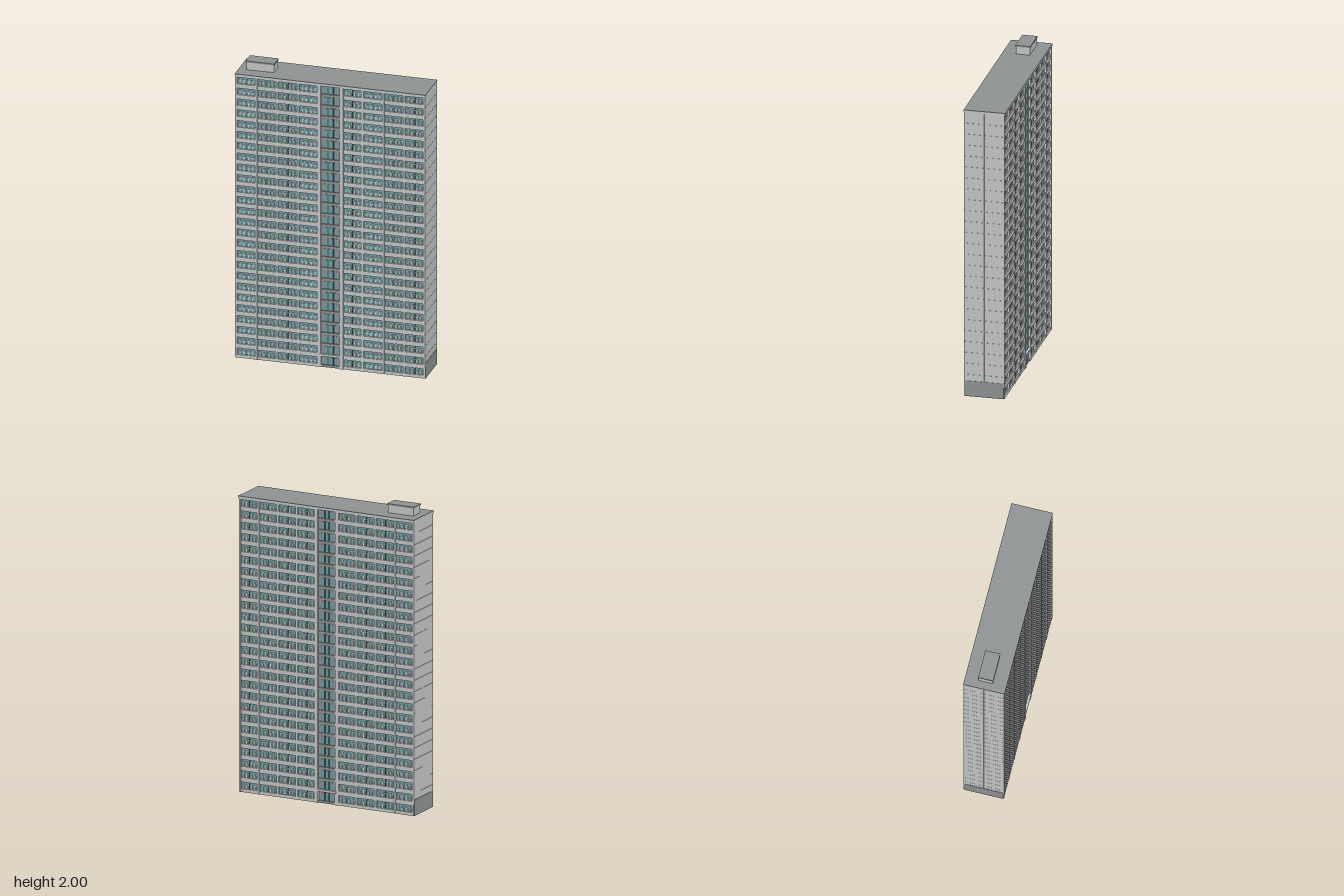
import * as THREE from 'three';
import { mergeGeometries } from 'three/addons/utils/BufferGeometryUtils.js';

const mat = (name, color) => new THREE.MeshStandardMaterial({ name, color });

// main sizes, in the tower's own axes (x along the slab, z across)
const LEN = 1.25, DEPTH = 0.262, TOP = 1.94, FLOORS = 26;
const FLOOR_H = 1.925 / FLOORS;
const CORE_W = 0.15, BAYS = 4, BAY_W = (LEN - CORE_W) / 2 / BAYS;
const FACE = DEPTH / 2, GLASS = FACE - 0.014;

// box from x centre, y range, z range and width
function box(x, y0, y1, z0, z1, w) {
  return new THREE.BoxGeometry(w, y1 - y0, z1 - z0).translate(x, (y0 + y1) / 2, (z0 + z1) / 2);
}

export function createModel() {
  const wall = mat('paleConcrete', 0xc8cac9);
  const grey = mat('greyConcrete', 0x8f9495);
  const glass = mat('tealGlass', 0x69a0a5);
  const dark = mat('darkFrame', 0x4a5557);

  const model = new THREE.Group();
  const tower = new THREE.Group();
  tower.name = 'tower';
  tower.rotation.y = -0.387;
  model.add(tower);

  const add = (parent, name, material, geos) => {
    const mesh = new THREE.Mesh(geos.length > 1 ? mergeGeometries(geos) : geos[0], material);
    mesh.name = name;
    parent.add(mesh);
    return mesh;
  };

  // inner body and solid end walls
  add(tower, 'innerBody', wall, [box(0, 0, 1.925, -GLASS + 0.002, GLASS - 0.002, LEN - 0.02)]);
  for (const s of [-1, 1]) {
    const end = new THREE.Group();
    end.name = s > 0 ? 'leftEnd' : 'rightEnd';
    tower.add(end);
    add(end, 'endWall', wall, [box(s * (LEN / 2 - 0.006), 0, 1.925, -FACE, FACE, 0.012)]);
    // precast panels with open joints between floors and halves
    const panels = [];
    for (let f = 1; f < FLOORS; f++)
      for (const h of [-1, 1]) {
        const y = f * FLOOR_H, z = h * FACE / 2;
        panels.push(box(s * LEN / 2, y + 0.0008, y + FLOOR_H - 0.0008, z - FACE / 2 + 0.001, z + FACE / 2 - 0.001, 0.004));
      }
    add(end, 'endPanels', wall, panels);
    add(end, 'endPlinth', grey, [box(s * (LEN / 2 + 0.001), 0, 0.105, -FACE + 0.005, FACE - 0.005, 0.006)]);
  }

  // one long facade, used on both sides
  function makeFacade(name) {
    const facade = new THREE.Group();
    facade.name = name;
    tower.add(facade);
    const panes = [], bands = [], posts = [], piers = [], mullions = [];
    const corePanels = [], coreGlass = [], coreSlots = [];

    // piers at every bay line
    for (const s of [-1, 1])
      for (let b = 0; b <= BAYS; b++) {
        const w = b === 0 ? 0.024 : 0.014;
        const x = s * (CORE_W / 2 + b * BAY_W - (b === BAYS ? 0.005 : 0));
        piers.push(box(x, 0, 1.925, GLASS - 0.006, FACE + 0.001, b === BAYS ? 0.01 : w));
      }

    for (let f = 0; f < FLOORS; f++) {
      const y = f * FLOOR_H;
      for (const s of [-1, 1]) {
        // parapet band and floor edge through all bays of this half
        const cx = s * (CORE_W / 2 + BAYS * BAY_W / 2);
        bands.push(box(cx, y, y + 0.021, GLASS - 0.004, FACE - 0.001, BAYS * BAY_W - 0.004));
        bands.push(box(cx, y + 0.066, y + FLOOR_H, GLASS - 0.004, FACE - 0.001, BAYS * BAY_W - 0.004));
        for (let b = 0; b < BAYS; b++) {
          const x = s * (CORE_W / 2 + (b + 0.5) * BAY_W);
          panes.push(box(x, y + 0.02, y + 0.067, GLASS - 0.004, GLASS, BAY_W - 0.01));
          // wall pieces between the lower windows
          for (const [u, w] of [[-0.3, 0.006], [-0.12, 0.01], [0.12, 0.01], [0.3, 0.006]])
            posts.push(box(x + u * BAY_W, y + 0.02, y + 0.045, GLASS - 0.003, GLASS + 0.007, w));
          posts.push(box(x, y + 0.044, y + 0.048, GLASS - 0.003, GLASS + 0.004, BAY_W - 0.02));
          mullions.push(box(x, y + 0.02, y + 0.067, GLASS - 0.003, GLASS + 0.005, 0.004));
        }
      }
      // stair core: grey storey panel, narrow windows and dark slots
      corePanels.push(box(0, y, y + 0.015, GLASS - 0.004, FACE - 0.005, CORE_W - 0.02));
      corePanels.push(box(0, y + 0.014, y + FLOOR_H, GLASS - 0.004, GLASS + 0.001, CORE_W - 0.02));
      for (const [x, w] of [[-0.034, 0.018], [0.0, 0.022], [0.034, 0.018]])
        coreGlass.push(box(x, y + 0.018, y + 0.066, GLASS, GLASS + 0.003, w));
      for (const x of [-0.017, 0.017])
        coreSlots.push(box(x, y + 0.015, y + FLOOR_H, GLASS, GLASS + 0.004, 0.007));
    }
    add(facade, 'windows', glass, panes);
    add(facade, 'parapetBands', wall, bands);
    add(facade, 'windowPosts', wall, posts);
    add(facade, 'piers', wall, piers);
    add(facade, 'mullions', dark, mullions);
    add(facade, 'stairPanels', grey, corePanels);
    add(facade, 'stairWindows', glass, coreGlass);
    add(facade, 'stairSlots', dark, coreSlots);
    // entrance surround at the foot of the stair core
    add(facade, 'entrance', wall, [
      box(0, 0.075, 0.09, GLASS, FACE + 0.004, CORE_W - 0.01),
      box(-CORE_W / 2 + 0.01, 0, 0.075, GLASS, FACE + 0.003, 0.01),
      box(CORE_W / 2 - 0.01, 0, 0.075, GLASS, FACE + 0.003, 0.01),
    ]);
    return facade;
  }
  makeFacade('frontFacade');
  makeFacade('backFacade').rotation.y = Math.PI;

  // roof slab with a slim pale edge
  add(tower, 'roofEdge', wall, [box(0, 1.922, TOP - 0.004, -FACE - 0.003, FACE + 0.003, LEN + 0.006)]);
  add(tower, 'roof', grey, [box(0, TOP - 0.004, TOP, -FACE - 0.004, FACE + 0.004, LEN + 0.008)]);

  // lift house and its lid
  add(tower, 'liftHouse', wall, [box(-0.487, TOP, 1.99, -0.046, 0.046, 0.182)]);
  add(tower, 'liftHouseLid', grey, [box(-0.487, 1.99, 2.0, -0.049, 0.049, 0.189)]);
  return model;
}
